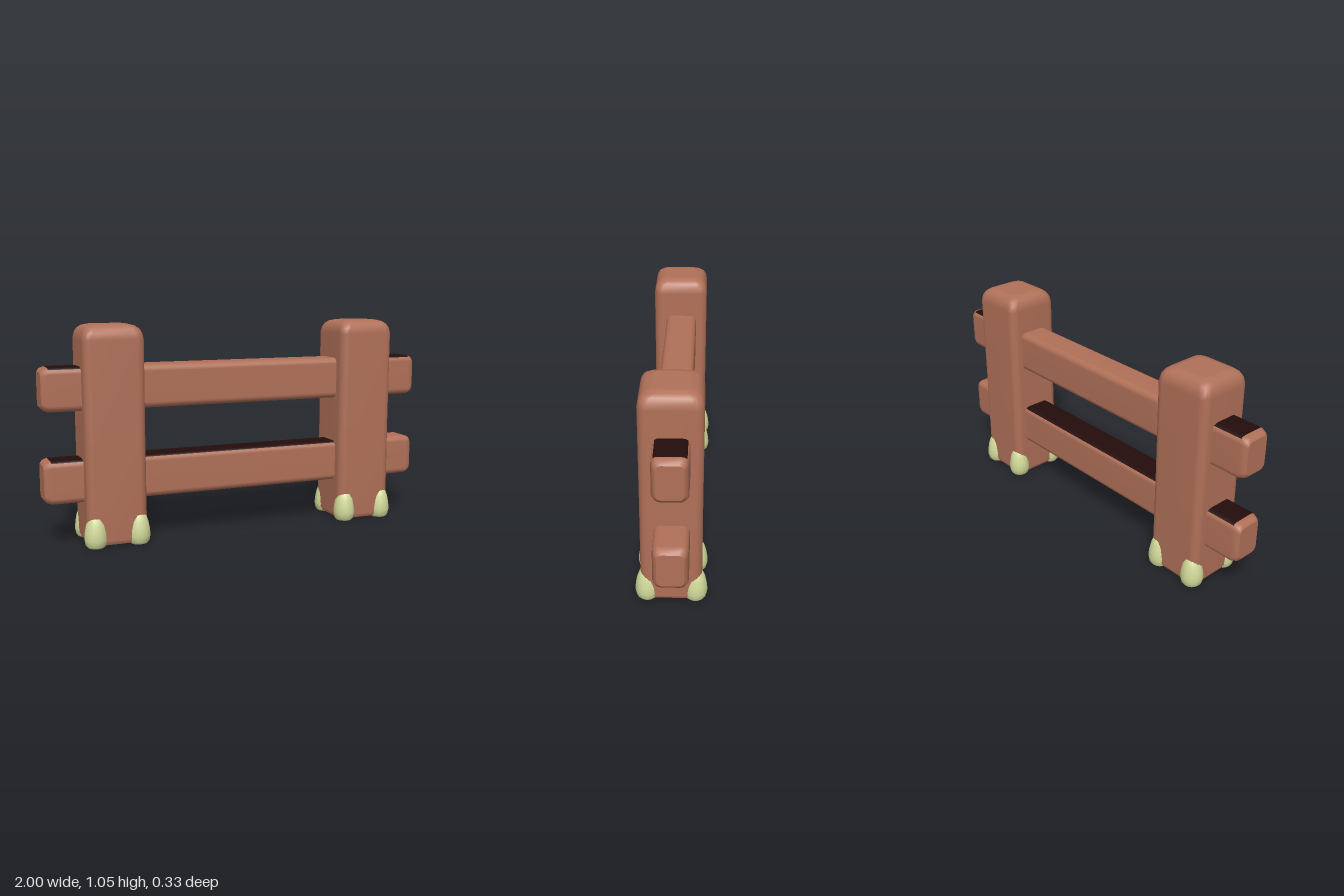
import * as THREE from 'three';

const wood = new THREE.MeshStandardMaterial({ color: 0xb07058 });
wood.name = 'wood brown';
const dark = new THREE.MeshStandardMaterial({ color: 0x230d0c });
dark.name = 'dark bark';
const pale = new THREE.MeshStandardMaterial({ color: 0xd2da9a });
pale.name = 'pale green';

// Rounded-rectangle loft along +z. Sections are [z, halfWidth, halfHeight, cornerRadius].
// Quads for which isDark(segment, ringIndex) holds go in material group 1.
const STEPS = 4;
const RING = 4 * (STEPS + 1);
function loft(sections, isDark = () => false) {
  const pos = [], light = [], black = [];
  const ring = ([z, w, h, r]) => {
    const start = pos.length / 3;
    for (let k = 0; k < 4; k++) {
      const cx = (k === 0 || k === 3 ? 1 : -1) * (w - r);
      const cy = (k < 2 ? 1 : -1) * (h - r);
      for (let s = 0; s <= STEPS; s++) {
        const a = (k + s / STEPS) * Math.PI / 2;
        pos.push(cx + r * Math.cos(a), cy + r * Math.sin(a), z);
      }
    }
    return start;
  };
  const starts = sections.map(ring);
  for (let i = 0; i < sections.length - 1; i++) {
    for (let j = 0; j < RING; j++) {
      const n = (j + 1) % RING;
      const a = starts[i] + j, b = starts[i] + n, c = starts[i + 1] + n, d = starts[i + 1] + j;
      (isDark(i, j) ? black : light).push(a, b, c, a, c, d);
    }
  }
  // End caps on their own vertices keep the rim crisp
  for (const end of [0, sections.length - 1]) {
    const s = ring(sections[end]);
    const centre = pos.length / 3;
    pos.push(0, 0, sections[end][0]);
    for (let j = 0; j < RING; j++) {
      const n = (j + 1) % RING;
      if (end === 0) light.push(centre, s + n, s + j);
      else light.push(centre, s + j, s + n);
    }
  }
  const g = new THREE.BufferGeometry();
  g.setAttribute('position', new THREE.Float32BufferAttribute(pos, 3));
  g.setIndex([...light, ...black]);
  g.addGroup(0, light.length, 0);
  if (black.length) g.addGroup(light.length, black.length, 1);
  g.computeVertexNormals();
  return g;
}

function add(parent, name, geometry, material) {
  const mesh = new THREE.Mesh(geometry, material);
  mesh.name = name;
  parent.add(mesh);
  return mesh;
}

// Square post with a softly rounded crown and four corner claws
function createPost(name, x) {
  const post = new THREE.Group();
  post.name = name;
  post.position.x = x;
  const w = 0.148, d = 0.141;
  const inset = (y, i) => [y, w - i, d - i, 0.04];
  const body = loft([
    inset(0.008, 0.012), inset(0.03, 0), inset(0.5, 0.001), inset(0.985, 0),
    inset(1.015, 0.006), inset(1.035, 0.017), inset(1.048, 0.034), inset(1.055, 0.06),
  ]);
  body.rotateX(-Math.PI / 2);
  add(post, 'postBody', body, wood);

  const profile = [[0.04, 0], [0.05, 0.012], [0.056, 0.04], [0.053, 0.075],
    [0.046, 0.11], [0.035, 0.14], [0.02, 0.157], [0, 0.163]]
    .map(([r, y]) => new THREE.Vector2(r, y));
  for (const sx of [-1, 1]) {
    for (const sz of [-1, 1]) {
      const claw = new THREE.Group();
      claw.name = 'claw';
      claw.position.set(sx * 0.106, 0, sz * 0.11);
      add(claw, 'clawShell', new THREE.LatheGeometry(profile, 16), pale);
      const sole = new THREE.CircleGeometry(0.04, 16);
      sole.rotateX(Math.PI / 2);
      add(claw, 'clawSole', sole, dark);
      post.add(claw);
    }
  }
  return post;
}

// Horizontal rail; darkSpans lists the segments whose top is dark
function createRail(name, y, darkSpans) {
  const ends = [[1, 0.06, 0.082, 0.025], [0.99, 0.071, 0.096, 0.03], [0.965, 0.079, 0.104, 0.03]];
  const sections = [
    ...ends.map(([x, ...s]) => [-x, ...s]),
    [-0.67, 0.08, 0.105, 0.03],
    [0.67, 0.08, 0.105, 0.03],
    ...ends.slice().reverse(),
  ];
  const onTop = (j) => j >= STEPS / 2 && j <= STEPS + STEPS / 2;
  const geometry = loft(sections, (i, j) => darkSpans.includes(i) && onTop(j));
  geometry.rotateY(Math.PI / 2);
  add(this, name, geometry, [wood, dark]).position.set(0, y, -0.004);
}

export function createModel() {
  const fence = new THREE.Group();
  fence.name = 'fence';
  fence.add(createPost('rightPost', -0.667), createPost('leftPost', 0.672));
  // Segments: 2 = right stub, 3 = middle span, 4 = left stub
  createRail.call(fence, 'upperRail', 0.755, [2, 4]);
  createRail.call(fence, 'lowerRail', 0.315, [2, 3]);
  return fence;
}
